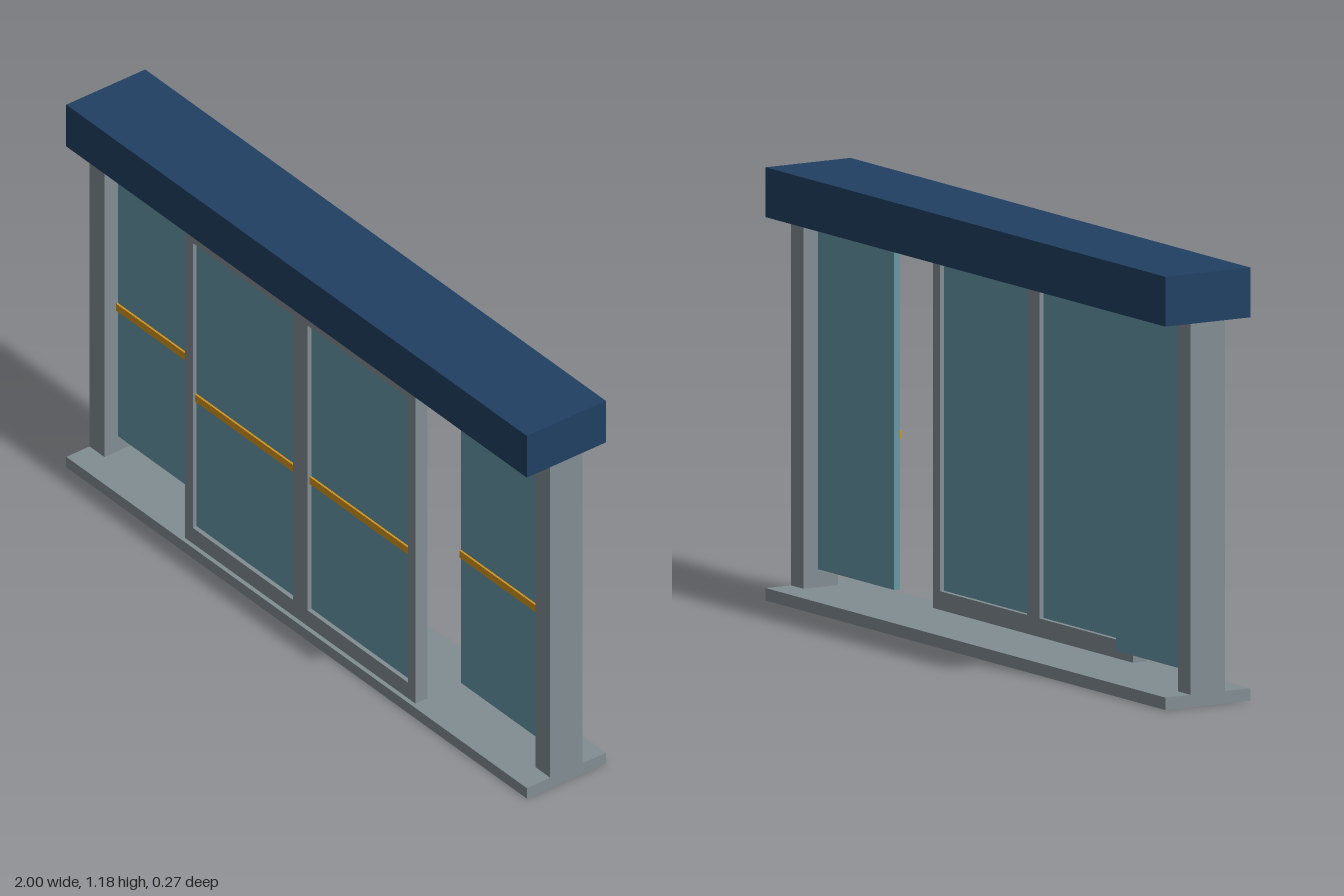
import * as THREE from 'three';

const mat = (name, color) => new THREE.MeshStandardMaterial({ name, color });

export function createModel() {
  const root = new THREE.Group();
  root.name = 'slidingDoors';
  const navy = mat('navy header', 0x204062);
  const grey = mat('grey metal', 0x828d93);
  const glass = mat('blue glass', 0x6698a6);
  const amber = mat('amber stripe', 0xd2941f);

  // Box given by its min and max corners
  const box = (name, material, [x0, y0, z0], [x1, y1, z1], parent = root) => {
    const mesh = new THREE.Mesh(new THREE.BoxGeometry(x1 - x0, y1 - y0, z1 - z0), material);
    mesh.position.set((x0 + x1) / 2, (y0 + y1) / 2, (z0 + z1) / 2);
    mesh.name = name;
    parent.add(mesh);
  };

  const floorTop = 0.034, headBottom = 1.046;
  box('header', navy, [-1, headBottom, -0.135], [1, 1.182, 0.135]);
  box('threshold', grey, [-1, 0, -0.135], [1, floorTop, 0.135]);

  // Glass pane with its safety stripe on the front
  const pane = (name, x0, x1, y0, y1, z, half, parent) => {
    box(name, glass, [x0, y0, z - half], [x1, y1, z + half], parent);
    box(name + 'Stripe', amber, [x0, 0.494, z + half], [x1, 0.517, z + half + 0.006], parent);
  };

  for (const side of [-1, 1]) {
    const label = side > 0 ? 'left' : 'right';
    const span = (a, b) => (side > 0 ? [a, b] : [-b, -a]);

    // End post and fixed side pane
    const [p0, p1] = span(0.936, 1);
    box(label + 'Post', grey, [p0, floorTop, -0.055], [p1, headBottom, 0.055]);
    const [s0, s1] = span(0.555, 0.936);
    pane(label + 'SidePane', s0, s1, 0.083, headBottom, 0, 0.009, root);

    // Sliding leaf: stiles, rails and pane
    const leaf = new THREE.Group();
    leaf.name = label + 'SlidingLeaf';
    root.add(leaf);
    const z0 = 0.08, z1 = 0.122;
    for (const [name, a, b] of [['innerStile', 0, 0.031], ['outerStile', 0.467, 0.5]]) {
      const [x0, x1] = span(a, b);
      box(name, grey, [x0, floorTop, z0], [x1, headBottom, z1], leaf);
    }
    const [x0, x1] = span(0.031, 0.467);
    box('bottomRail', grey, [x0, floorTop, z0], [x1, 0.085, z1], leaf);
    box('topRail', grey, [x0, 1.013, z0], [x1, headBottom, z1], leaf);
    pane('leafPane', x0, x1, 0.085, 1.013, 0.101, 0.008, leaf);
  }
  return root;
}
